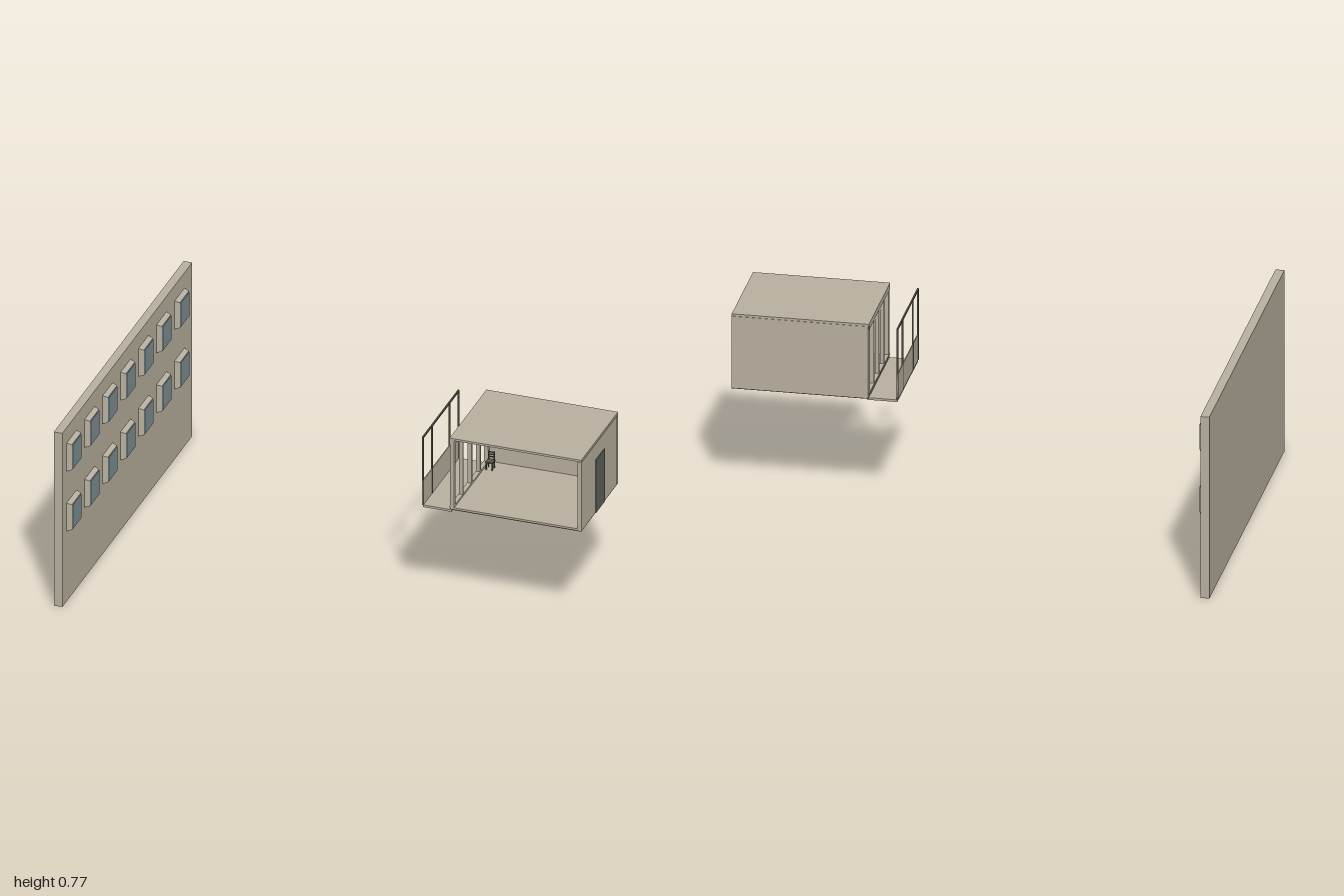
import * as THREE from 'three';

const mat = (name, color, side = THREE.FrontSide) => {
  const m = new THREE.MeshStandardMaterial({ color, side });
  m.name = name;
  return m;
};

export function createModel() {
  const plaster = mat('plaster', 0xbab2a1);
  const glass = mat('glass', 0x7f9095);
  const doorPaint = mat('door paint', 0x5e635a);
  const metal = mat('dark metal', 0x5a554c);
  const underside = mat('dark underside', 0x6e5950);
  const root = new THREE.Group();
  root.name = 'buildingAndRoom';

  // Box given by its minimum and maximum along each axis
  const box = (parent, name, material, x0, x1, y0, y1, z0, z1) => {
    const mesh = new THREE.Mesh(new THREE.BoxGeometry(x1 - x0, y1 - y0, z1 - z0), material);
    mesh.position.set((x0 + x1) / 2, (y0 + y1) / 2, (z0 + z1) / 2);
    mesh.name = name;
    parent.add(mesh);
    return mesh;
  };
  const group = (name) => {
    const g = new THREE.Group();
    g.name = name;
    root.add(g);
    return g;
  };

  // Facade slab with two rows of seven windows
  const facade = group('facade');
  box(facade, 'facadeWall', plaster, -1, -0.965, 0, 0.757, -0.74, 0.74);

  // Window surround: a shallow block narrowing outward
  const surround = new THREE.BoxGeometry(0.02, 0.122, 0.114);
  const p = surround.attributes.position;
  for (let i = 0; i < p.count; i++) {
    if (p.getX(i) > 0) p.setXYZ(i, 0.01, p.getY(i) * 0.9, p.getZ(i) * 0.92);
  }
  surround.computeVertexNormals();
  for (const y of [0.368, 0.629]) {
    for (let i = 0; i < 7; i++) {
      const z = 0.635 - i * 0.205;
      const frame = new THREE.Mesh(surround, plaster);
      frame.name = 'windowSurround';
      frame.position.set(-0.955, y, z);
      facade.add(frame);
      box(facade, 'windowPane', glass, -0.946, -0.942, y - 0.052, y + 0.052, z - 0.049, z + 0.049);
    }
  }

  // Room, open toward the front
  const room = group('room');
  box(room, 'floor', plaster, 0.46, 0.995, 0.462, 0.468, -0.11, 0.295);
  box(room, 'floorUnderside', underside, 0.46, 0.995, 0.458, 0.462, -0.125, 0.295);
  box(room, 'roof', plaster, 0.457, 0.995, 0.76, 0.769, -0.125, 0.295);
  box(room, 'backWall', plaster, 0.46, 0.995, 0.462, 0.76, -0.127, -0.11);
  box(room, 'rightWall', plaster, 0.98, 0.997, 0.462, 0.76, -0.11, 0.298);
  box(room, 'doorOutside', doorPaint, 0.997, 1, 0.462, 0.692, 0.04, 0.138);
  box(room, 'doorInside', doorPaint, 0.977, 0.98, 0.468, 0.692, 0.04, 0.138);

  // Glassless frame on the balcony side
  const opening = group('balconyOpening');
  box(opening, 'headRail', plaster, 0.458, 0.476, 0.742, 0.76, -0.11, 0.295);
  box(opening, 'bottomRail', plaster, 0.458, 0.476, 0.468, 0.476, -0.11, 0.295);
  for (const t of [0, 0.25, 0.5, 0.75, 1]) {
    const w = t === 0 || t === 1 ? 0.018 : 0.01;
    const z = -0.11 + w / 2 + t * (0.405 - w);
    box(opening, 'framePost', plaster, 0.46, 0.476, 0.468, 0.742, z - w / 2, z + w / 2);
  }

  // Balcony slab with parapet, posts and top rail
  const balcony = group('balcony');
  box(balcony, 'balconySlab', plaster, 0.348, 0.465, 0.449, 0.458, -0.113, 0.295);
  box(balcony, 'parapet', plaster, 0.346, 0.35, 0.458, 0.565, -0.113, 0.295);
  for (const t of [0, 0.25, 0.75, 1]) {
    const z = -0.11 + t * 0.402;
    box(balcony, 'railPost', metal, 0.345, 0.351, 0.458, 0.752, z - 0.003, z + 0.003);
  }
  box(balcony, 'topRail', metal, 0.345, 0.351, 0.748, 0.755, -0.113, 0.295);

  // Small slatted chair near the back corner of the room
  const chair = group('chair');
  for (const x of [0.487, 0.511]) {
    for (const z of [-0.066, -0.04]) {
      box(chair, 'chairLeg', metal, x - 0.002, x + 0.002, 0.468, z < -0.05 ? 0.538 : 0.5, z - 0.002, z + 0.002);
    }
  }
  box(chair, 'chairSeat', metal, 0.484, 0.514, 0.498, 0.503, -0.069, -0.037);
  for (const y of [0.512, 0.522, 0.532]) {
    box(chair, 'chairSlat', metal, 0.487, 0.511, y, y + 0.004, -0.068, -0.065);
  }
  return root;
}
